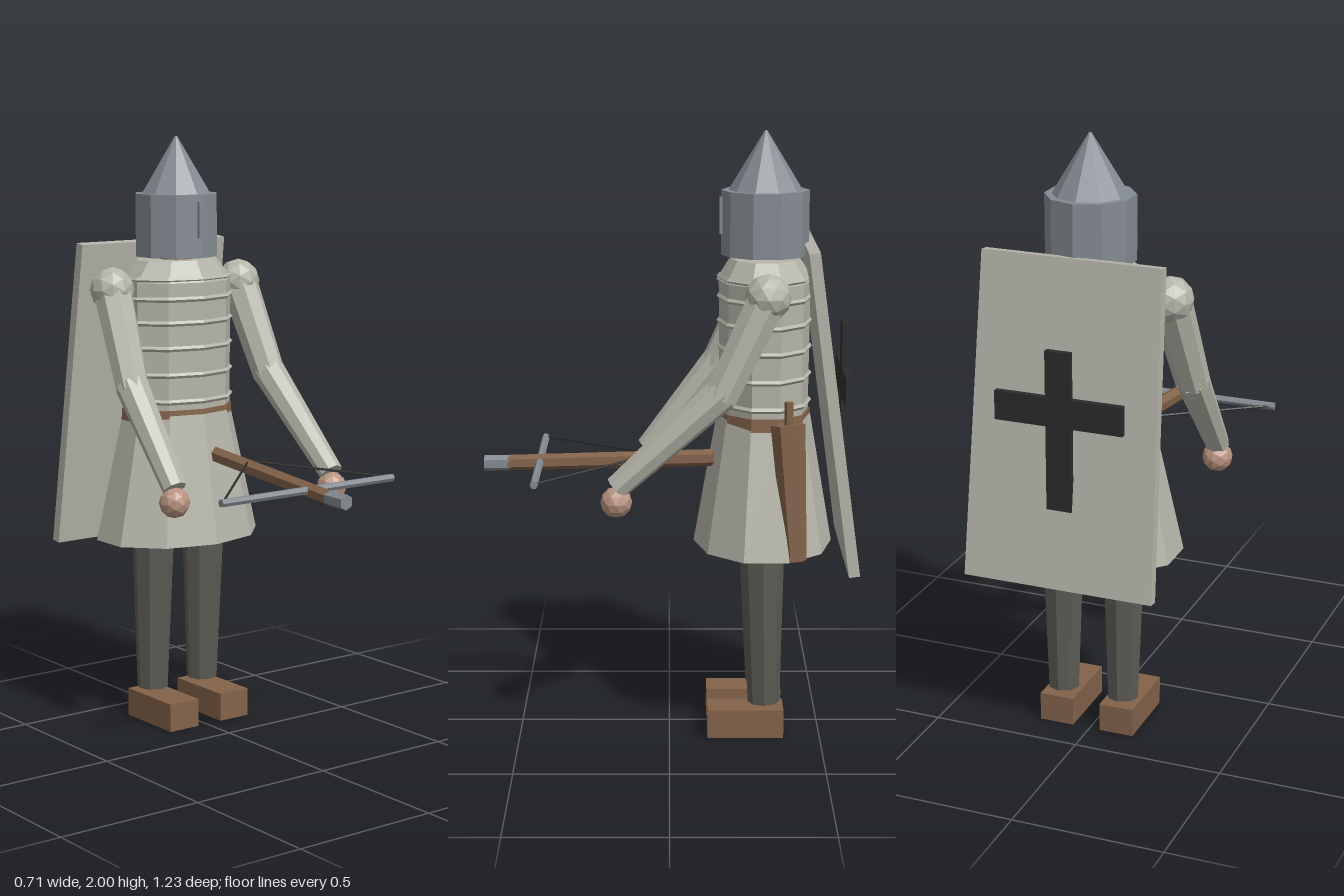
import * as THREE from 'three';

const mat = (name, color) => {
  const m = new THREE.MeshStandardMaterial({ color, flatShading: true });
  m.name = name;
  return m;
};

export function createModel() {
  const cloth = mat('pale cloth', 0xb5b5aa);
  const trousers = mat('dark trousers', 0x5c5a54);
  const steel = mat('steel', 0x858b93);
  const leather = mat('brown leather', 0x83634a);
  const skin = mat('skin', 0xb8937f);
  const black = mat('black', 0x2c2c2c);

  const root = new THREE.Group();
  const figure = new THREE.Group();
  figure.name = 'figure';
  figure.position.set(0.012, 0, -0.31);
  root.add(figure);

  const add = (parent, name, geo, material, x = 0, y = 0, z = 0) => {
    const m = new THREE.Mesh(geo, material);
    m.name = name;
    m.position.set(x, y, z);
    parent.add(m);
    return m;
  };
  // Upright ten-sided drum, flattened front to back by sz
  const drum = (name, material, y0, y1, r0, r1, sz = 1, sides = 10) => {
    const g = new THREE.CylinderGeometry(r1, r0, y1 - y0, sides).scale(1, 1, sz);
    return add(figure, name, g, material, 0, (y0 + y1) / 2, 0);
  };
  // Tapered rod from a to b
  const rod = (parent, name, material, a, b, ra, rb, sides = 8) => {
    const p = new THREE.Vector3(...a), q = new THREE.Vector3(...b);
    const g = new THREE.CylinderGeometry(rb, ra, p.distanceTo(q), sides);
    const m = add(parent, name, g, material);
    m.position.copy(p).add(q).multiplyScalar(0.5);
    m.quaternion.setFromUnitVectors(new THREE.Vector3(0, 1, 0), q.sub(p).normalize());
    return m;
  };

  // Helmet and neck
  drum('helmet', steel, 1.6, 1.81, 0.143, 0.143);
  drum('helmetCone', steel, 1.81, 2.0, 0.12, 0.004);
  add(figure, 'helmetSlit', new THREE.BoxGeometry(0.025, 0.12, 0.02), steel, 0, 1.727, 0.138);
  drum('neck', leather, 1.57, 1.62, 0.06, 0.06);

  // Padded body with ring bands, belt and skirt
  drum('shoulders', cloth, 1.52, 1.59, 0.205, 0.148, 0.77);
  drum('torso', cloth, 1.08, 1.52, 0.2, 0.205, 0.73);
  for (const y of [1.53, 1.465, 1.385, 1.3, 1.21, 1.12]) {
    const g = new THREE.TorusGeometry(0.203, 0.009, 4, 10).rotateZ(Math.PI / 2)
      .rotateX(Math.PI / 2).scale(1, 1, 0.74);
    add(figure, 'bodyBand', g, cloth, 0, y, 0);
  }
  drum('belt', leather, 1.05, 1.092, 0.208, 0.205, 0.74);
  drum('skirt', cloth, 0.64, 1.075, 0.302, 0.202, 0.76);

  // Arms and legs, mirrored; the left hand reaches further forward
  for (const s of [-1, 1]) {
    const side = s > 0 ? 'left' : 'right';
    const reach = s > 0 ? 0.48 : 0.385;
    add(figure, side + 'Shoulder', new THREE.IcosahedronGeometry(0.075, 1), cloth, s * 0.263, 1.5, 0);
    rod(figure, side + 'UpperArm', cloth, [s * 0.263, 1.5, 0], [s * 0.286, 1.18, 0.15], 0.066, 0.056);
    rod(figure, side + 'Forearm', cloth, [s * 0.286, 1.2, 0.14], [s * 0.289, 0.89, reach], 0.056, 0.04);
    add(figure, side + 'Hand', new THREE.IcosahedronGeometry(0.051, 1), skin, s * 0.289, 0.844, reach);
    rod(figure, side + 'Leg', trousers, [s * 0.106, 0.11, -0.005], [s * 0.106, 0.72, 0.005], 0.053, 0.075);
    add(figure, side + 'Boot', new THREE.BoxGeometry(0.117, 0.096, 0.253), leather, s * 0.106, 0.048, 0.057);
  }

  // Scabbard on the left hip
  rod(figure, 'scabbard', leather, [0.253, 0.64, -0.097], [0.212, 1.08, -0.07], 0.036, 0.056, 6);
  rod(figure, 'scabbardGrip', leather, [0.215, 1.07, -0.072], [0.215, 1.155, -0.072], 0.014, 0.014, 6);

  // Leaning shield on the back, slightly wider at the foot
  const outline = new THREE.Shape([[-0.318, -0.525], [0.318, -0.525], [0.297, 0.525], [-0.297, 0.525]]
    .map(p => new THREE.Vector2(...p)));
  const shield = add(figure, 'shield',
    new THREE.ExtrudeGeometry(outline, { depth: 0.036, bevelEnabled: false }).translate(0, 0, -0.018),
    cloth, 0, 1.123, -0.213);
  shield.rotation.x = 0.134;

  // Upright cross behind the shield
  add(figure, 'crossUpright', new THREE.BoxGeometry(0.083, 0.52, 0.02), black, 0, 1.122, -0.263);
  add(figure, 'crossBar', new THREE.BoxGeometry(0.425, 0.095, 0.0195), black, 0, 1.185, -0.263);

  // Crossbow
  const bow = new THREE.Group();
  bow.name = 'crossbow';
  root.add(bow);
  rod(bow, 'stock', leather, [0.057, 0.933, -0.147], [-0.008, 0.9, 0.535], 0.028, 0.026, 6);
  rod(bow, 'stockTip', steel, [-0.008, 0.9, 0.53], [-0.01, 0.899, 0.615], 0.026, 0.026, 6);
  rod(bow, 'bowLimb', steel, [-0.358, 0.909, 0.43], [0.342, 0.909, 0.43], 0.013, 0.013, 6);
  for (const x of [-0.345, 0.33]) {
    rod(bow, 'bowString', black, [x, 0.912, 0.425], [0.045, 0.942, 0.048], 0.004, 0.004, 5);
  }
  return root;
}
